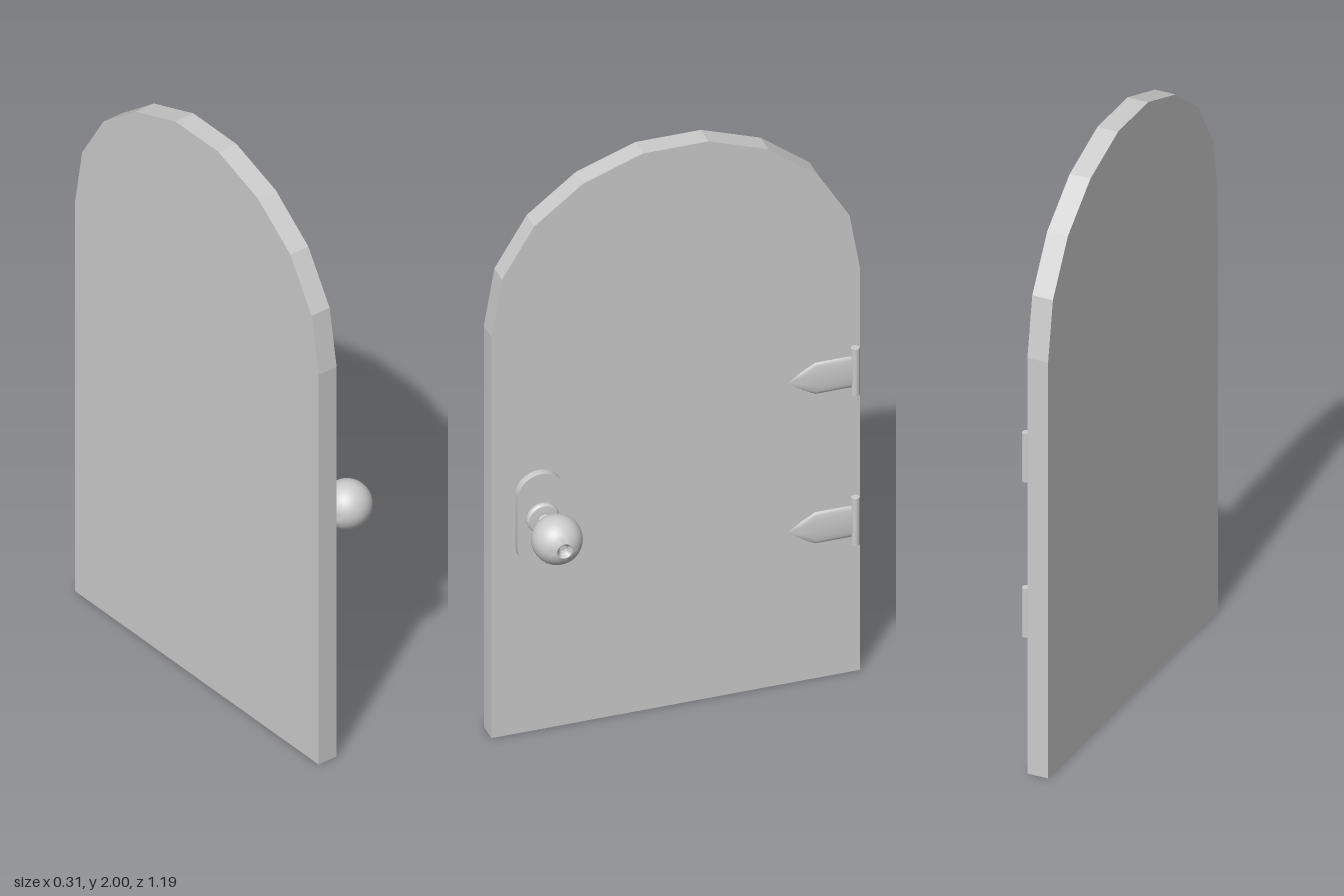
import * as THREE from 'three';
import { toCreasedNormals } from 'three/addons/utils/BufferGeometryUtils.js';

const material = new THREE.MeshStandardMaterial({ color: 0xcccccc });
const FACE = -0.087; // x of the door's outer face

function part(name, geometry, crease = 0.6) {
  const mesh = new THREE.Mesh(toCreasedNormals(geometry, crease), material);
  mesh.name = name;
  return mesh;
}

// Extrudes a shape drawn in (-z, y) along +x, starting at x0
function slab(shape, x0, depth, curveSegments = 8) {
  return new THREE.ExtrudeGeometry(shape, { depth, bevelEnabled: false, curveSegments })
    .rotateY(Math.PI / 2)
    .translate(x0, 0, 0);
}

// Lathe whose axis runs along +x; profile entries are [radius, x]
function latheX(profile, segments) {
  const points = profile.map(([r, x]) => new THREE.Vector2(r, x));
  return new THREE.LatheGeometry(points, segments).rotateZ(-Math.PI / 2);
}

function createDoor() {
  // Half outline, mirrored to give the faceted arch
  const half = [[0.594, 0], [0.594, 1.44], [0.56, 1.64], [0.456, 1.81], [0.298, 1.932], [0.105, 2]];
  const mirrored = half.map(([u, y]) => [-u, y]).reverse();
  const outline = [...half, ...mirrored].map(([u, y]) => new THREE.Vector2(u, y));
  return part('doorPanel', slab(new THREE.Shape(outline), -0.157, FACE + 0.157), 0.1);
}

function createHandle() {
  const group = new THREE.Group();
  group.name = 'handle';

  // Capsule-shaped backing plate
  const r = 0.076, u = -0.442;
  const capsule = new THREE.Shape();
  capsule.absarc(u, 0.857, r, 0, Math.PI);
  capsule.absarc(u, 0.679, r, Math.PI, Math.PI * 2);
  capsule.closePath();
  group.add(part('backPlate', slab(capsule, FACE, 0.026)));

  // Rounded collar against the plate
  const collar = part('collar', latheX([
    [0, -0.062], [0.048, -0.062], [0.052, -0.058], [0.052, -0.05],
    [0.047, -0.043], [0.03, -0.041], [0, -0.041]], 24));

  // Ridged neck
  const neckProfile = [[0.018, -0.043]];
  for (let i = 0; i < 4; i++) {
    const x = -0.039 + i * 0.011;
    neckProfile.push([0.018, x], [0.022, x + 0.003], [0.022, x + 0.006], [0.018, x + 0.009]);
  }
  const neck = part('neck', latheX(neckProfile, 20));

  // Ball with a small recess in its end
  const R = 0.079, cx = 0.076, recess = 0.025;
  const end = Math.PI - Math.asin(recess / R);
  const ball = [];
  for (let i = 0; i <= 22; i++) {
    const a = (end * i) / 22;
    ball.push([R * Math.sin(a), cx - R * Math.cos(a)]);
  }
  ball.push([0.014, 0.138], [0.012, 0.126], [0, 0.126]);
  const knob = part('knob', latheX(ball, 32), 0.5);

  for (const mesh of [collar, neck, knob]) {
    mesh.position.set(0, 0.78, 0.44);
    group.add(mesh);
  }
  return group;
}

function createHinge(y) {
  const group = new THREE.Group();
  group.name = 'hinge';
  group.position.set(-0.074, y, 0);

  // Upright pin barrel
  const barrel = new THREE.CylinderGeometry(0.0135, 0.0135, 0.168, 16);
  barrel.translate(0, 0, -0.574);
  group.add(part('barrel', barrel));

  // Flattened, pointed strap
  const profile = [[0, -0.57], [0.056, -0.57], [0.056, -0.445], [0.031, -0.4], [0, -0.355]];
  const strap = new THREE.LatheGeometry(profile.map(([r, z]) => new THREE.Vector2(r, z)), 20);
  strap.rotateX(Math.PI / 2).scale(0.15, 1, 1);
  group.add(part('strap', strap, 0.7));
  return group;
}

export function createModel() {
  const model = new THREE.Group();
  model.name = 'archedDoor';
  model.add(createDoor(), createHandle(), createHinge(1.086), createHinge(0.549));
  return model;
}
